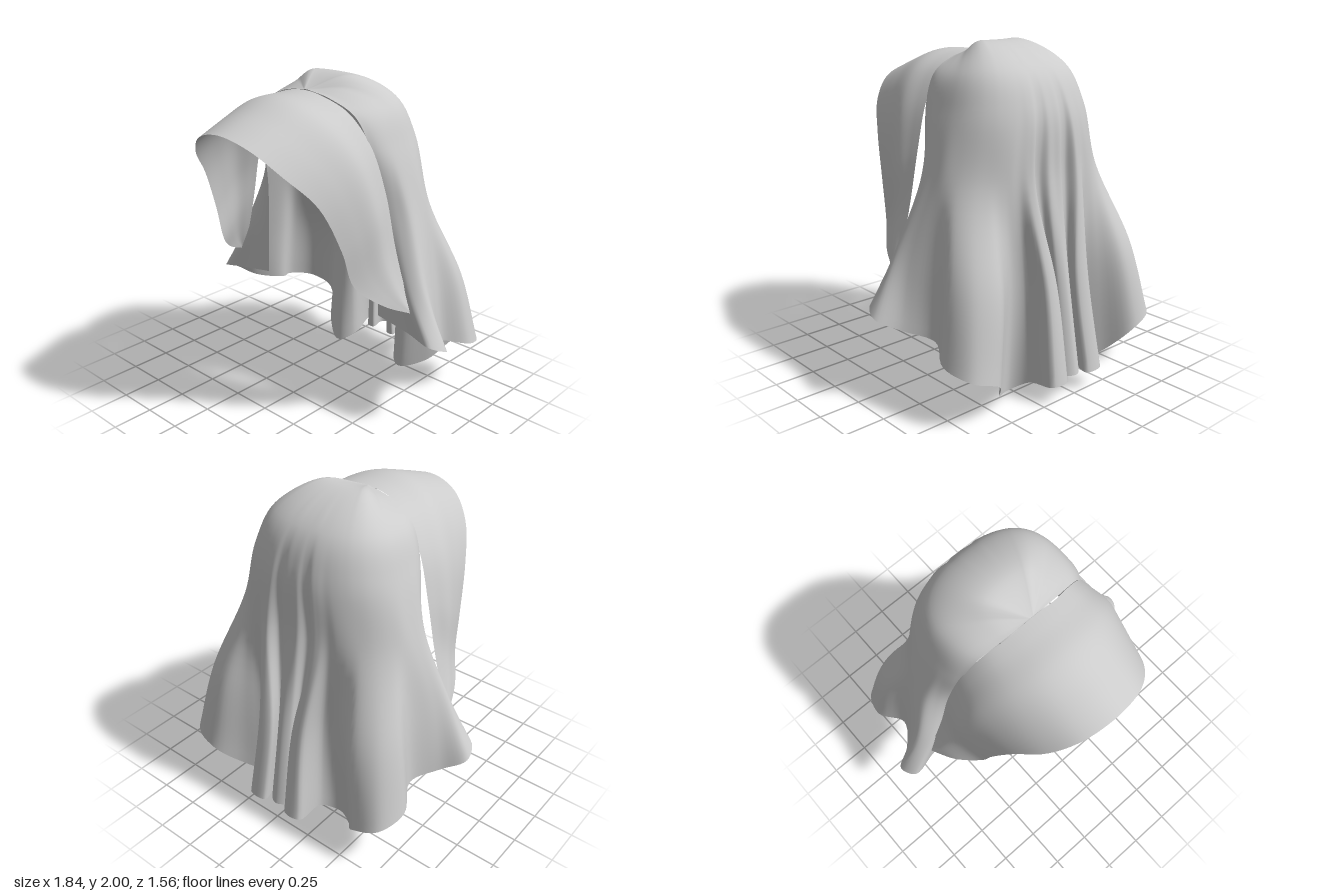
import * as THREE from 'three';

const V = (x, y, z) => new THREE.Vector3(x, y, z);
const toPoints = (list) => list.map((p) => V(...p));

// Half a cross-section (ending on the centre plane) mirrored to a full one
const mirrored = (half) => [
  ...half,
  ...half.slice(0, -1).reverse().map((p) => V(-p.x, p.y, p.z)),
];

// Smooth cloth skinned through a series of cross-sections
function cloth(sections, nu, nv) {
  const rows = sections.map((s) => {
    const curve = new THREE.CatmullRomCurve3(s);
    return Array.from({ length: nu + 1 }, (_, i) => curve.getPoint(i / nu));
  });
  const positions = [], index = [];
  for (let i = 0; i <= nu; i++) {
    const column = new THREE.CatmullRomCurve3(rows.map((r) => r[i]));
    for (let j = 0; j <= nv; j++) positions.push(...column.getPoint(j / nv).toArray());
  }
  for (let i = 0; i < nu; i++) {
    for (let j = 0; j < nv; j++) {
      const a = i * (nv + 1) + j, b = a + nv + 1;
      index.push(a, a + 1, b, b, a + 1, b + 1);
    }
  }
  const g = new THREE.BufferGeometry();
  g.setAttribute('position', new THREE.Float32BufferAttribute(positions, 3));
  g.setIndex(index);
  g.computeVertexNormals();
  return g;
}

// Angles of the veil's 18 half-section points, front edge to centre back
const ANGLES = [-0.5, -0.34, -0.2, -0.05, 0.1, 0.27, 0.46, 0.66, 0.85,
  1.0, 1.12, 1.22, 1.3, 1.37, 1.43, 1.48, 1.525, Math.PI / 2];

// Rounded section of the crown; tuck pulls in the front edge, pleat presses in the back
function crownSection({ rx, zc, back, front, yFront, yBack, tuck = 0, pleat = 0 }) {
  return ANGLES.map((a, k) => {
    const s = Math.sin(a);
    const depth = Math.sign(s) * Math.abs(s) ** 0.8 * (s > 0 ? back : front);
    const x = k === 17 ? 0 : rx * Math.cos(a) ** 0.8 - tuck * Math.max(0, 3 - k);
    const y = THREE.MathUtils.lerp(yFront, yBack, THREE.MathUtils.smoothstep(a, -0.5, 0.9));
    const fold = k === 14 || k === 15 ? pleat : k === 12 || k === 13 ? -pleat * 0.5 : 0;
    return V(x, y, zc - depth + fold);
  });
}

// Folds at the middle of the veil
const MIDDLE = [
  [0.46, 0.88, 0.0], [0.59, 0.86, 0.0], [0.69, 0.86, 0.0], [0.755, 0.85, -0.06],
  [0.72, 0.83, -0.16], [0.66, 0.8, -0.32], [0.7, 0.78, -0.47], [0.64, 0.75, -0.6],
  [0.5, 0.72, -0.65], [0.38, 0.68, -0.57], [0.28, 0.66, -0.51], [0.2, 0.66, -0.54],
  [0.17, 0.66, -0.68], [0.08, 0.66, -0.67], [0.09, 0.66, -0.59], [0.05, 0.66, -0.58],
  [0.05, 0.66, -0.64], [0, 0.66, -0.67],
];

// Hem of the veil with its deep folds
const HEM = [
  [0.47, 0.62, 0.0], [0.7, 0.58, 0.0], [0.87, 0.56, 0.03], [0.92, 0.51, -0.08],
  [0.8, 0.44, -0.18], [0.7, 0.4, -0.34], [0.79, 0.34, -0.52], [0.73, 0.29, -0.69],
  [0.57, 0.23, -0.72], [0.43, 0.06, -0.57], [0.27, 0.0, -0.47], [0.18, 0.05, -0.55],
  [0.2, 0.11, -0.77], [0.08, 0.11, -0.77], [0.11, 0.12, -0.61], [0.06, 0.12, -0.61],
  [0.07, 0.12, -0.71], [0, 0.12, -0.76],
];

// Hood: seam against the crown and free front edge, bottom to top
const SEAM = [
  [0.72, 0.72, 0], [0.665, 0.85, 0], [0.59, 1.1, 0.01], [0.52, 1.4, 0.02],
  [0.43, 1.66, 0.05], [0.3, 1.83, 0.09], [0.15, 1.9, 0.12], [0, 1.92, 0.12],
];
const BRIM = [
  [0.72, 0.72, 0.01], [0.65, 0.8, 0.17], [0.55, 0.93, 0.31], [0.52, 1.15, 0.38],
  [0.46, 1.42, 0.5], [0.35, 1.6, 0.65], [0.2, 1.73, 0.74], [0, 1.78, 0.77],
];

// Section between seam and brim, bulging outward
function hoodSection(t, bulge) {
  const brim = toPoints(BRIM);
  return toPoints(SEAM).map((p, k) => {
    const q = p.clone().lerp(brim[k], t);
    const out = V(q.x, Math.max(0, q.y - 1.2), 0).normalize();
    return q.addScaledVector(out, bulge * Math.min(1, k / 3));
  });
}

export function createModel() {
  const group = new THREE.Group();
  const fabric = new THREE.MeshStandardMaterial({ color: 0xcccccc, side: THREE.DoubleSide });
  fabric.name = 'light grey fabric';

  // Crown and long pleated veil
  const veilSections = [
    ANGLES.map((a, k) => V((17 - k) * 0.001, 1.925, 0.12)),
    crownSection({ rx: 0.2, zc: 0, back: 0.13, front: 0.2, yFront: 1.895, yBack: 1.995 }),
    crownSection({ rx: 0.385, zc: -0.1, back: 0.31, front: 0.33, yFront: 1.81, yBack: 1.86 }),
    crownSection({ rx: 0.485, zc: -0.1, back: 0.425, front: 0.27, yFront: 1.6, yBack: 1.64, pleat: 0.008 }),
    crownSection({ rx: 0.6, zc: -0.13, back: 0.43, front: 0.27, yFront: 1.25, yBack: 1.24, tuck: 0.035, pleat: 0.035 }),
    toPoints(MIDDLE),
    toPoints(HEM),
  ].map(mirrored);
  const veil = new THREE.Mesh(cloth(veilSections, 204, 48), fabric);
  veil.name = 'veil';

  // Projecting hood around the face
  const hoodSections = [
    hoodSection(1, 0), hoodSection(0.7, 0.03), hoodSection(0.4, 0.05),
    hoodSection(0.15, 0.02), hoodSection(0, 0),
  ].map(mirrored);
  const hood = new THREE.Mesh(cloth(hoodSections, 84, 24), fabric);
  hood.name = 'hood';

  group.add(veil, hood);
  return group;
}
